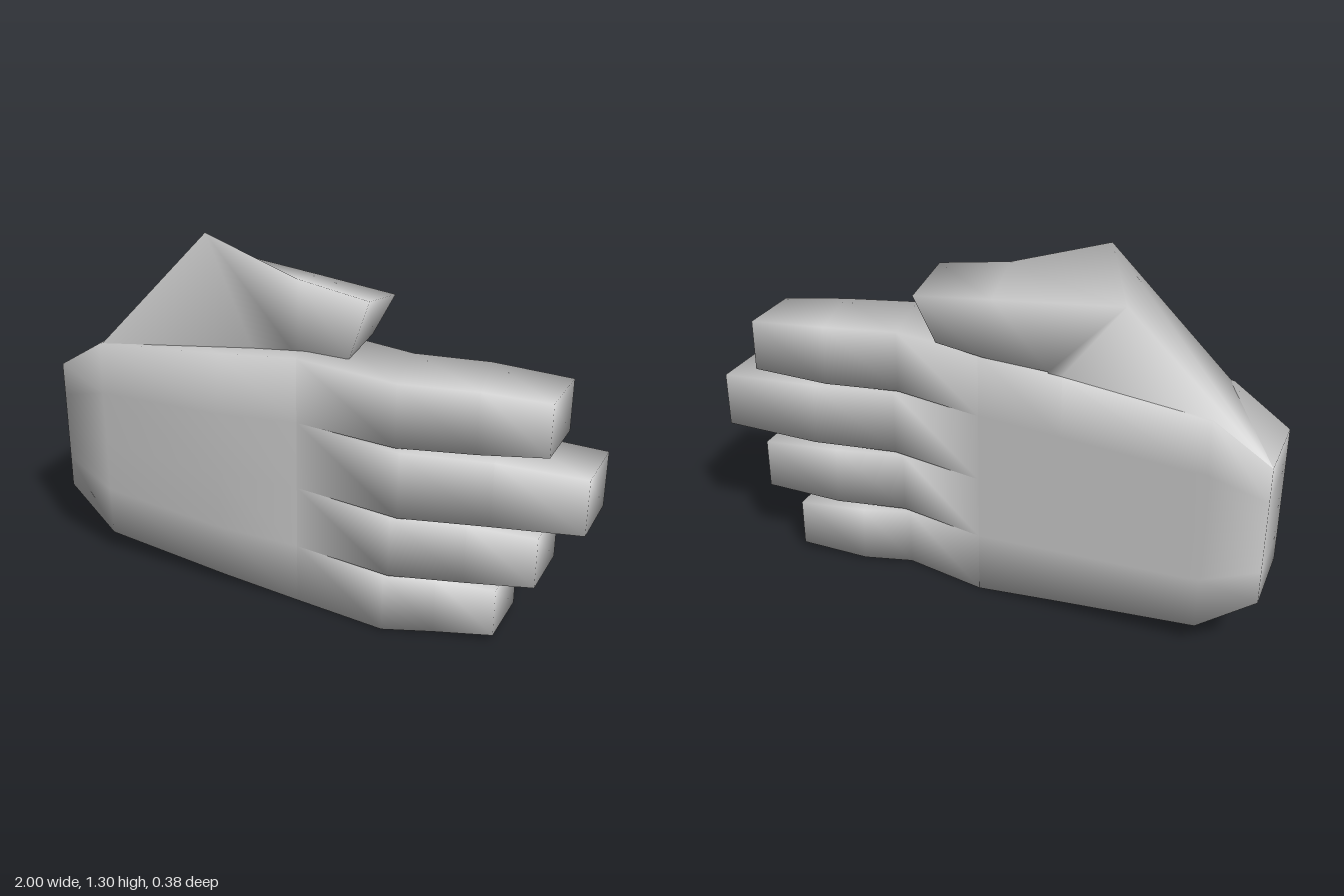
import * as THREE from 'three';

const material = new THREE.MeshStandardMaterial({ color: 0xcccccc });

// Smooth skin over rings of [x, y, z]; each ring runs counter-clockwise seen from +x.
function loft(name, rings, capStart, capEnd) {
  const n = rings[0].length;
  const index = [];
  const quad = (a, b, c, d) => index.push(a, b, c, a, c, d);
  for (let r = 0; r < rings.length - 1; r++) {
    for (let i = 0; i < n; i++) {
      const k = (i + 1) % n;
      quad(r * n + i, r * n + k, (r + 1) * n + k, (r + 1) * n + i);
    }
  }
  const last = (rings.length - 1) * n;
  for (let j = 0; j < n / 2 - 1; j++) {
    if (capStart) quad(n - 1 - j, n - 2 - j, j + 1, j);
    if (capEnd) quad(last + j, last + j + 1, last + n - 2 - j, last + n - 1 - j);
  }
  const geometry = new THREE.BufferGeometry();
  geometry.setAttribute('position', new THREE.Float32BufferAttribute(rings.flat(2), 3));
  geometry.setIndex(index);
  geometry.computeVertexNormals();
  const mesh = new THREE.Mesh(geometry, material);
  mesh.name = name;
  return mesh;
}

// Knuckle line: heights where the fingers meet, from bottom to top
const splits = [0, 0.225, 0.458, 0.706, 0.94];

function palmRing(x, bottom, top, front, back, bulge) {
  const ys = splits.map((s) => bottom + (s / 0.94) * (top - bottom));
  const frontSide = ys.map((y, i) => [x, y, front + (i > 0 && i < 4 ? bulge : 0)]).reverse();
  const backSide = ys.map((y) => [x, y, back]);
  return [...frontSide, ...backSide];
}

// Four-cornered finger that bends forward at the first joint and back at the second
function finger(name, i, f) {
  const lo = splits[i], hi = splits[i + 1];
  const ring = (x, inset, front, back, slant) => [
    [x, hi - inset, front], [x, lo + inset, front],
    [x - slant, lo + inset, back], [x - slant, hi - inset, back],
  ];
  const mesh = loft(name, [
    ring(0, 0, 0.13, -0.16, 0),
    ring(f.joints[0], 0.004, f.front, -0.1, 0.05),
    ring(f.joints[1], 0.008, 0.115, -0.15, 0.05),
    ring(f.tip, 0.024, 0.07, -0.165, 0),
  ], false, true);
  // Blend the root into the flat of the palm
  const normal = mesh.geometry.attributes.normal;
  for (let c = 0; c < 4; c++) {
    const top = c === 0 || c === 3;
    const outer = top ? i === 3 : i === 0;
    const v = new THREE.Vector3(0, outer ? (top ? 0.8 : -0.8) : 0, c < 2 ? 1 : -1).normalize();
    normal.setXYZ(c, v.x, v.y, v.z);
  }
  return mesh;
}

export function createModel() {
  const hand = new THREE.Group();
  hand.name = 'hand';

  // Palm from wrist to knuckles
  hand.add(loft('palm', [
    palmRing(-1, 0.23, 0.735, 0.09, -0.19, 0),
    palmRing(-0.8, 0.08, 0.86, 0.12, -0.19, 0.005),
    palmRing(-0.3, 0.032, 0.91, 0.135, -0.172, 0.022),
    palmRing(0, 0, 0.94, 0.13, -0.16, 0),
  ], true, false));

  // Fingers from lowest to highest
  const fingers = [
    { name: 'littleFinger', joints: [0.35, 0.52], tip: 0.72, front: 0.175 },
    { name: 'ringFinger', joints: [0.37, 0.62], tip: 0.85, front: 0.18 },
    { name: 'middleFinger', joints: [0.4, 0.7], tip: 1, front: 0.188 },
    { name: 'indexFinger', joints: [0.38, 0.64], tip: 0.865, front: 0.176 },
  ];
  fingers.forEach((f, i) => hand.add(finger(f.name, i, f)));

  // Thumb rising from the palm's upper edge and folding over the index finger
  hand.add(loft('thumb', [
    [[-0.8, 0.85, 0.12], [-0.28, 0.87, 0.135], [-0.25, 0.85, -0.165], [-1, 0.735, -0.19]],
    [[-0.38, 1.305, 0.055], [-0.2, 0.91, 0.06], [-0.25, 0.92, -0.167], [-0.5, 1.185, -0.167]],
    [[-0.03, 1.19, 0.055], [-0.03, 0.91, 0.055], [-0.02, 0.93, -0.165], [-0.05, 1.14, -0.165]],
    [[0.23, 1.15, 0.055], [0.16, 0.94, 0.055], [0.15, 0.955, -0.165], [0.23, 1.11, -0.165]],
  ], false, true));

  return hand;
}
